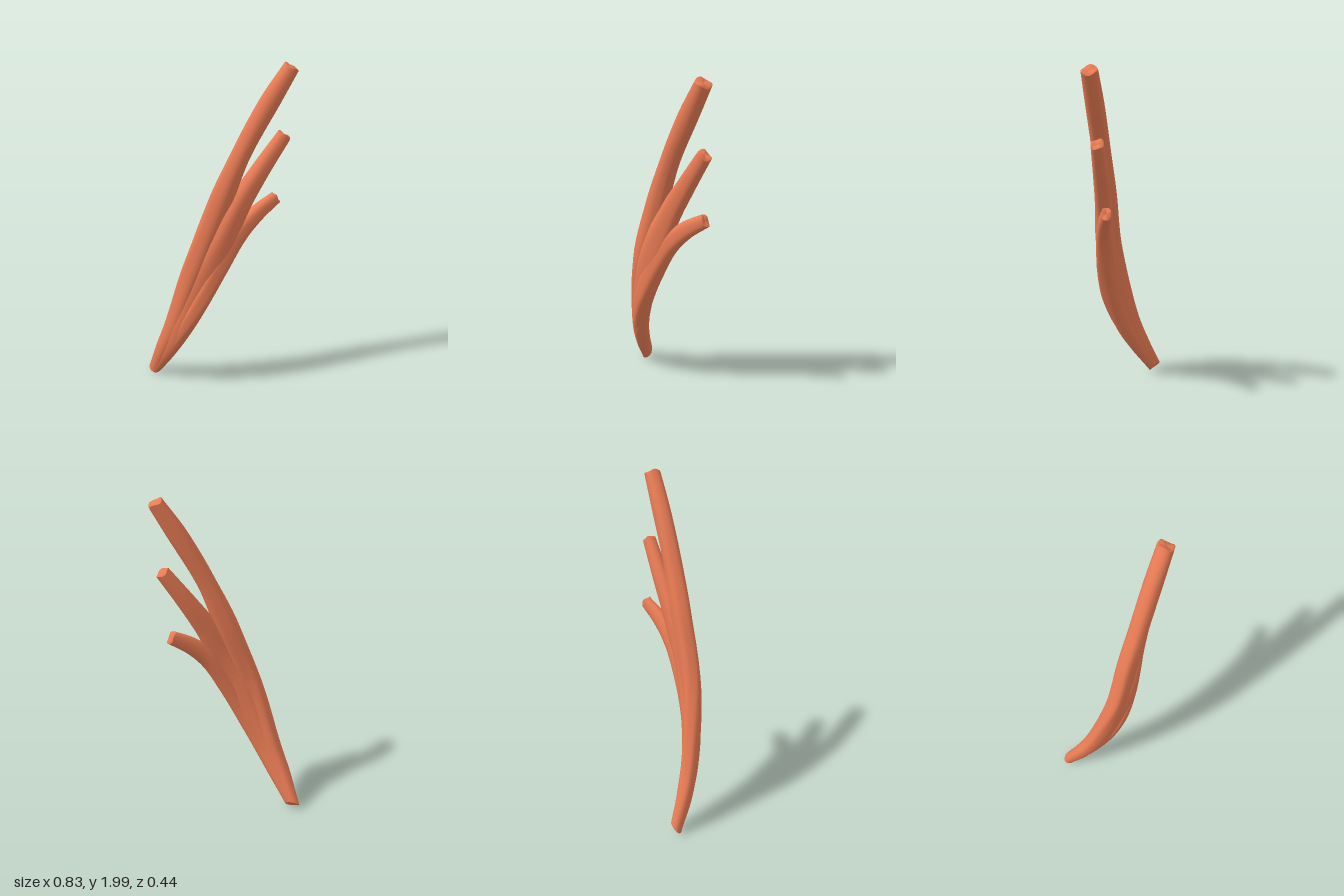
import * as THREE from 'three';

const SIDES = 28, STEPS = 48;

// Sweeps an oval, lightly fluted section along a smooth path.
// Each row is [x, y, z, halfWidth, halfThickness].
function strand(rows, phase) {
  const path = new THREE.CatmullRomCurve3(rows.map(r => new THREE.Vector3(r[0], r[1], r[2])));
  const size = new THREE.CatmullRomCurve3(rows.map(r => new THREE.Vector3(r[3], r[4], 0)));
  const pos = [], idx = [];

  // slant tips the ring so that its front edge drops; ragged waves its rim
  const ring = (u, shrink, { push = 0, slant = 0, ragged = 0 } = {}) => {
    const c = path.getPoint(u), t = path.getTangent(u), s = size.getPoint(u);
    const n = new THREE.Vector3(-t.z, 0, t.x).normalize(); // thin direction
    const w = new THREE.Vector3().crossVectors(t, n); // broad direction
    const start = pos.length / 3;
    for (let j = 0; j < SIDES; j++) {
      const a = (j / SIDES) * Math.PI * 2;
      const flute = Math.sin(Math.PI * u) * 0.04 * Math.sin(5 * a + phase + 2 * u);
      const k = shrink * (1 + flute);
      // slightly squared oval
      const ca = Math.sign(Math.cos(a)) * Math.abs(Math.cos(a)) ** 0.9;
      const sa = Math.sign(Math.sin(a)) * Math.abs(Math.sin(a)) ** 0.9;
      const p = c.clone().addScaledVector(n, ca * s.y * k).addScaledVector(w, sa * s.x * k)
        .addScaledVector(t, push - slant * ca * shrink + ragged * Math.sin(3 * a + phase));
      pos.push(p.x, p.y, p.z);
    }
    return start;
  };
  const bridge = (a, b) => {
    for (let j = 0; j < SIDES; j++) {
      const k = (j + 1) % SIDES;
      idx.push(a + j, a + k, b + j, a + k, b + k, b + j);
    }
  };

  // side wall, slanted at the root and ragged at the tip
  const root = { slant: 0.026 }, tip = { ragged: 0.007 };
  let prev = ring(0, 1, root);
  for (let i = 1; i <= STEPS; i++) {
    const next = ring(i / STEPS, 1, i === STEPS ? tip : { slant: 0.026 * Math.exp(-i / 2) });
    bridge(prev, next);
    prev = next;
  }
  // cut ends: flat at the root, slightly hollow at the tip
  bridge(ring(0, 0.01, root), ring(0, 1, root));
  const rim = ring(1, 1, tip), lip = ring(1, 0.75, { push: 0.006, ragged: 0.003 });
  bridge(rim, lip);
  bridge(lip, ring(1, 0.01));

  const g = new THREE.BufferGeometry();
  g.setAttribute('position', new THREE.Float32BufferAttribute(pos, 3));
  g.setIndex(idx);
  g.computeVertexNormals();
  return g;
}

export function createModel() {
  const group = new THREE.Group();
  group.name = 'fannedMuscle';
  const material = new THREE.MeshStandardMaterial({ color: 0xe87b54 });

  // three slips share one root, merge in the belly and part towards their tips
  const slips = {
    upperSlip: [
      [-0.375, 0.036, 0.125, 0.04, 0.034],
      [-0.29, 0.2, 0.158, 0.052, 0.044],
      [-0.195, 0.4, 0.172, 0.06, 0.05],
      [-0.06, 0.8, 0.157, 0.068, 0.055],
      [0.06, 1.2, 0.074, 0.068, 0.056],
      [0.162, 1.5, 0, 0.054, 0.052],
      [0.268, 1.75, -0.082, 0.056, 0.051],
      [0.373, 1.968, -0.163, 0.044, 0.046],
    ],
    middleSlip: [
      [-0.372, 0.034, 0.126, 0.038, 0.033],
      [-0.265, 0.2, 0.156, 0.056, 0.044],
      [-0.155, 0.4, 0.17, 0.076, 0.051],
      [0.008, 0.8, 0.122, 0.088, 0.058],
      [0.085, 1.0, 0.07, 0.082, 0.055],
      [0.15, 1.19, 0.0, 0.068, 0.049],
      [0.237, 1.385, -0.088, 0.054, 0.045],
      [0.335, 1.58, -0.178, 0.042, 0.036],
    ],
    lowerSlip: [
      [-0.368, 0.033, 0.127, 0.036, 0.033],
      [-0.25, 0.2, 0.156, 0.044, 0.044],
      [-0.122, 0.4, 0.168, 0.048, 0.052],
      [-0.022, 0.6, 0.145, 0.056, 0.057],
      [0.058, 0.8, 0.091, 0.062, 0.056],
      [0.143, 1.0, 0.004, 0.058, 0.047],
      [0.213, 1.112, -0.085, 0.051, 0.038],
      [0.285, 1.195, -0.19, 0.04, 0.028],
    ],
  };
  Object.entries(slips).forEach(([name, rows], i) => {
    const mesh = new THREE.Mesh(strand(rows, i * 1.7), material);
    mesh.name = name;
    group.add(mesh);
  });
  return group;
}
